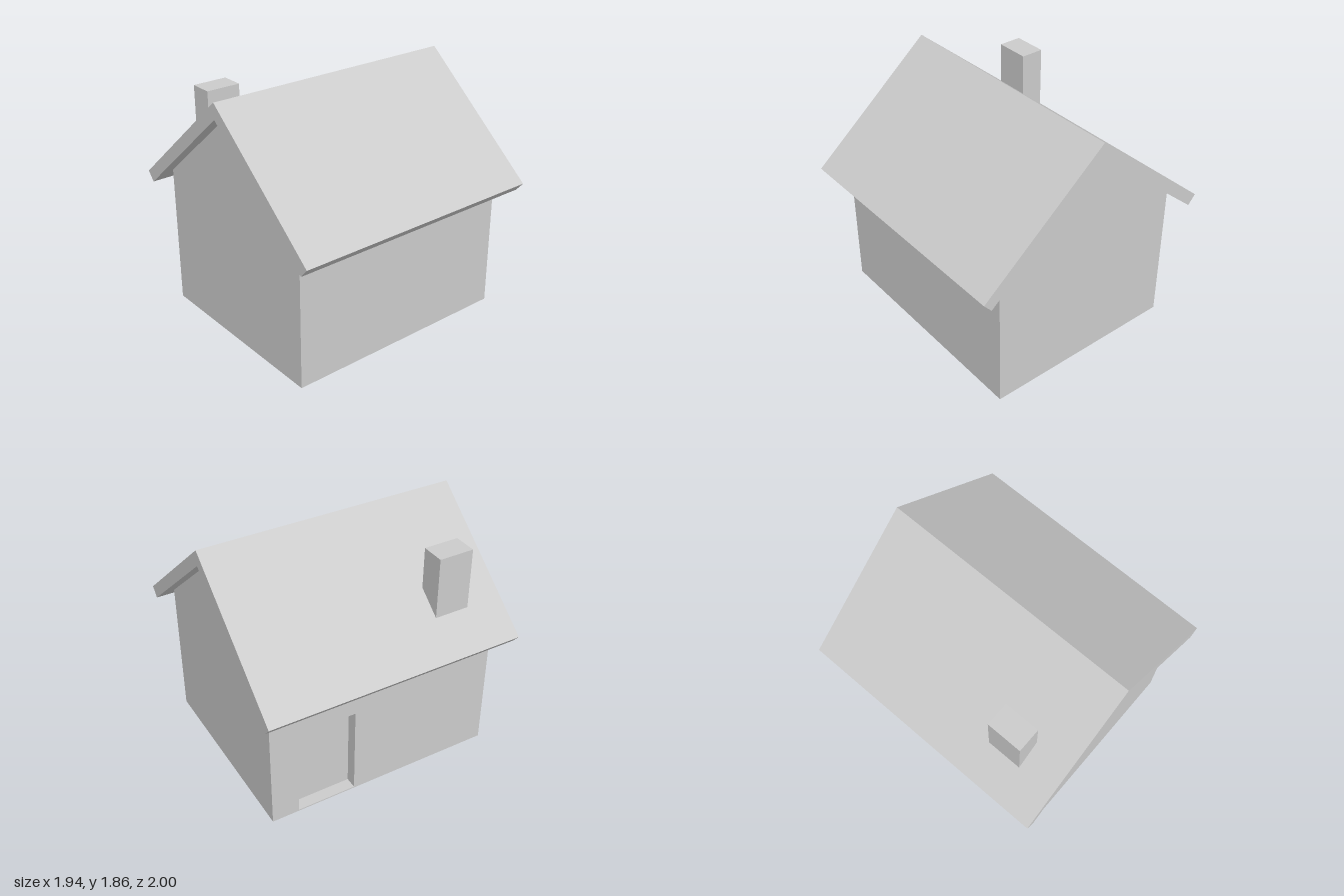
import * as THREE from 'three';

const material = new THREE.MeshStandardMaterial({ color: 0xcccccc, flatShading: true });

// Extrudes an x/y outline from z0 to z1
function prism(name, points, z0, z1) {
  const shape = new THREE.Shape(points.map(([x, y]) => new THREE.Vector2(x, y)));
  const geometry = new THREE.ExtrudeGeometry(shape, { depth: z1 - z0, bevelEnabled: false });
  geometry.translate(0, 0, z0);
  const mesh = new THREE.Mesh(geometry, material);
  mesh.name = name;
  return mesh;
}

export function createModel() {
  const house = new THREE.Group();
  house.name = 'house';

  const wallX = 0.77, wallZ = 0.905, eaveY = 1.09, gableY = 1.735;
  const doorBack = -0.695, doorFront = -0.235, doorTop = 0.71, doorDepth = 0.09, sillY = 0.01;

  // Gabled walls: solid on both sides of the doorway, recessed at the doorway
  const gable = [[-wallX, 0], [wallX, 0], [wallX, eaveY], [0, gableY], [-wallX, eaveY]];
  const doorX = -wallX + doorDepth;
  const recess = [[-wallX, doorTop], [doorX, doorTop], [doorX, sillY], [-wallX, sillY]];
  const walls = new THREE.Group();
  walls.name = 'walls';
  walls.add(
    prism('backWalls', gable, -wallZ, doorBack),
    prism('doorway', [...gable, ...recess], doorBack, doorFront),
    prism('frontWalls', gable, doorFront, wallZ)
  );
  house.add(walls);

  // Pitched roof with square-cut overhanging eaves
  house.add(prism('roof', [
    [0, 1.855], [-0.97, 1.04], [-0.91, 0.97], [0, gableY], [0.91, 0.97], [0.97, 1.04]
  ], -1, 1));

  // Chimney rising through the right slope
  const chimney = new THREE.Mesh(new THREE.BoxGeometry(0.18, 0.62, 0.27), material);
  chimney.name = 'chimney';
  chimney.position.set(-0.63, 1.41, 0.575);
  house.add(chimney);

  return house;
}
